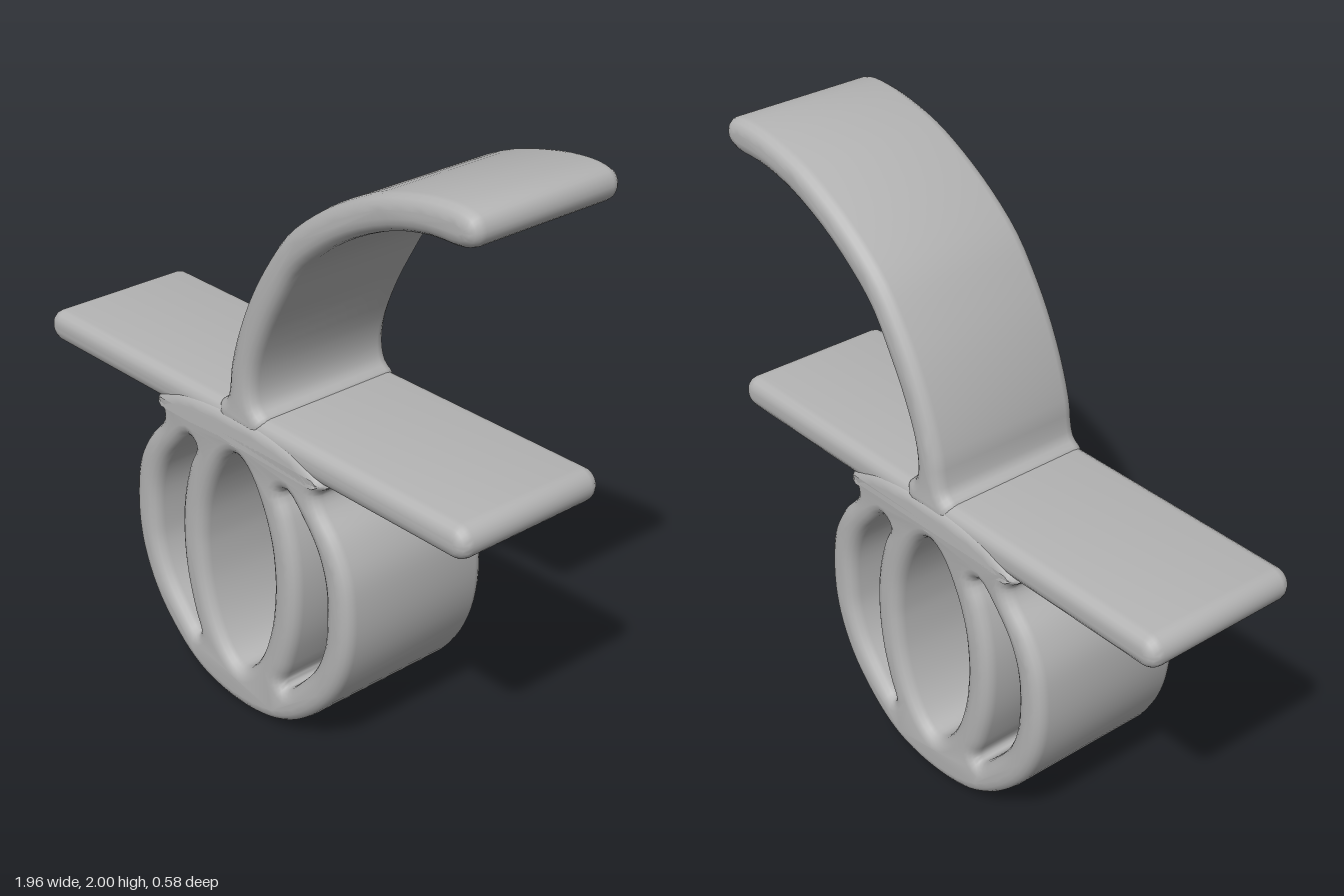
import * as THREE from 'three';
import { toCreasedNormals } from 'three/addons/utils/BufferGeometryUtils.js';

const BEVEL = 0.042;

// Smooth curve through [x, y] points
function smooth(points, closed, samples) {
  const curve = new THREE.CatmullRomCurve3(
    points.map(([x, y]) => new THREE.Vector3(x, y, 0)), closed, 'centripetal');
  const out = curve.getPoints(samples).map(p => new THREE.Vector2(p.x, p.y));
  if (closed) out.pop();
  return out;
}

const flipX = points => points.map(([x, y]) => [-x, y]).reverse();

// Extrudes a silhouette along z with rounded rims that stay inside the outline
function slab(name, shape, depth, material) {
  const geometry = new THREE.ExtrudeGeometry(shape, {
    depth: depth - 2 * BEVEL, curveSegments: 8,
    bevelEnabled: true, bevelSize: BEVEL, bevelThickness: BEVEL,
    bevelOffset: -BEVEL, bevelSegments: 4,
  });
  geometry.translate(0, 0, BEVEL - depth / 2);
  const mesh = new THREE.Mesh(toCreasedNormals(geometry, 0.9), material);
  mesh.name = name;
  return mesh;
}

export function createModel() {
  const group = new THREE.Group();
  group.name = 'ornament';
  const grey = new THREE.MeshStandardMaterial({ color: 0xb4b4b4 });
  grey.name = 'plain grey';

  // Horizontal plank with rounded ends
  const r = 0.055, end = 0.98 - r, mid = 1.02;
  const plank = new THREE.Shape();
  plank.moveTo(-end, mid - r);
  plank.lineTo(end, mid - r);
  plank.absarc(end, mid, r, -Math.PI / 2, Math.PI / 2, false);
  plank.lineTo(-end, mid + r);
  plank.absarc(-end, mid, r, Math.PI / 2, Math.PI * 1.5, false);
  group.add(slab('plank', plank, 0.56, grey));

  // Curved blade with a flared foot sunk into the plank
  const blade = [
    [0.1, 1.0], [0.12, 1.07], [0.085, 1.1], [0.07, 1.15], [0.08, 1.24],
    [0.13, 1.37], [0.2, 1.5], [0.27, 1.61], [0.37, 1.7], [0.5, 1.785],
    [0.66, 1.855], [0.8, 1.885], [0.92, 1.89], [0.965, 1.91], [0.98, 1.945],
    [0.965, 1.983], [0.92, 2.0], [0.83, 2.0], [0.73, 1.985], [0.6, 1.95],
    [0.47, 1.89], [0.34, 1.81], [0.22, 1.71], [0.13, 1.59], [0.06, 1.47],
    [0.0, 1.33], [-0.035, 1.21], [-0.042, 1.15], [-0.055, 1.1],
    [-0.09, 1.07], [-0.08, 1.0],
  ];
  group.add(slab('curvedBlade', new THREE.Shape(smooth(blade, true, 90)), 0.565, grey));

  // Round body: mirrored outline flaring into the plank
  const half = [
    [0.1, 0.008], [0.2, 0.035], [0.3, 0.095], [0.42, 0.215], [0.49, 0.345],
    [0.52, 0.47], [0.52, 0.61], [0.5, 0.71], [0.45, 0.805], [0.375, 0.89],
    [0.365, 0.93], [0.4, 0.968], [0.3, 1.03], [0.15, 1.055],
  ];
  const body = new THREE.Shape(smooth([[0, 0], ...half, ...flipX(half)], true, 110));

  // Pointed oval opening in the middle
  const oval = [
    [0, 0.14], [0.05, 0.165], [0.11, 0.25], [0.155, 0.38], [0.17, 0.5],
    [0.17, 0.57], [0.155, 0.68], [0.11, 0.8], [0.05, 0.89], [0, 0.915],
  ];
  body.holes.push(new THREE.Path(smooth([...oval, ...flipX(oval).slice(1, -1)], true, 60)));

  // Crescent opening on either side
  const crescent = [
    [0.22, 0.168], [0.29, 0.23], [0.36, 0.32], [0.4, 0.42], [0.41, 0.5],
    [0.405, 0.64], [0.37, 0.74], [0.31, 0.82], [0.235, 0.888], [0.205, 0.87],
    [0.235, 0.8], [0.265, 0.7], [0.28, 0.6], [0.28, 0.48], [0.265, 0.37],
    [0.23, 0.25], [0.205, 0.185],
  ];
  for (const side of [crescent, flipX(crescent)]) {
    body.holes.push(new THREE.Path(smooth(side, true, 64)));
  }
  group.add(slab('ringBody', body, 0.58, grey));

  return group;
}
